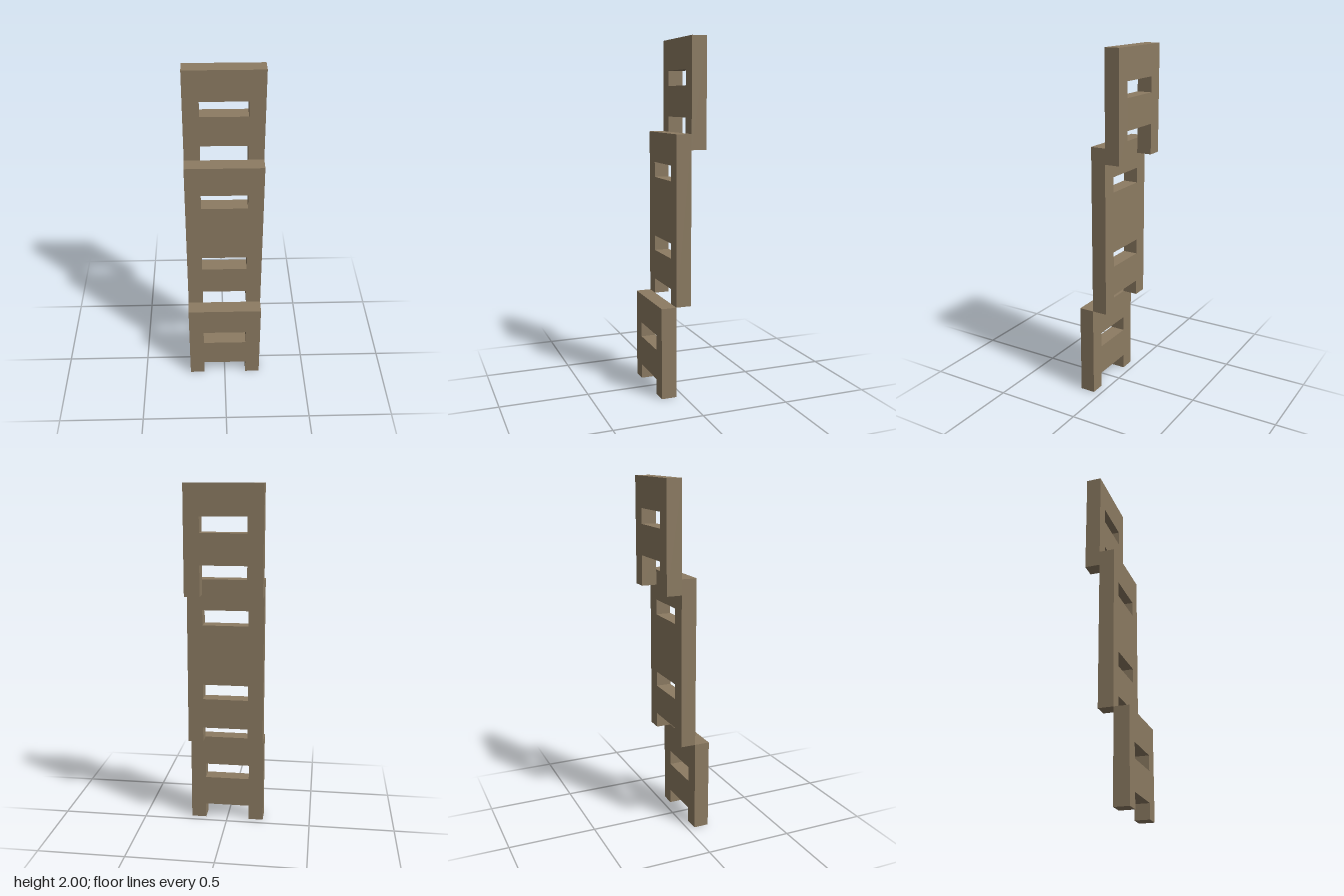
import * as THREE from 'three';

const U = 2 / 23; // one module: 23 modules make the full height
const HALF_WIDTH = 2.5 * U;
const HALF_SLOT = 1.5 * U;

const material = new THREE.MeshStandardMaterial({ color: 0x8c7b62, flatShading: true });

// Upright board on two feet, with one-module-high slots; sizes in modules
function panel(name, { bottom, top, back, notch, slots }) {
  const shape = new THREE.Shape([
    [-HALF_WIDTH, bottom * U], [-HALF_SLOT, bottom * U],
    [-HALF_SLOT, (bottom + notch) * U], [HALF_SLOT, (bottom + notch) * U],
    [HALF_SLOT, bottom * U], [HALF_WIDTH, bottom * U],
    [HALF_WIDTH, top * U], [-HALF_WIDTH, top * U],
  ].map(([x, y]) => new THREE.Vector2(x, y)));

  for (const y of slots) {
    shape.holes.push(new THREE.Path([
      [-HALF_SLOT, y * U], [-HALF_SLOT, (y + 1) * U],
      [HALF_SLOT, (y + 1) * U], [HALF_SLOT, y * U],
    ].map(([x, v]) => new THREE.Vector2(x, v))));
  }

  const geometry = new THREE.ExtrudeGeometry(shape, { depth: U, bevelEnabled: false });
  geometry.translate(0, 0, back * U);
  const mesh = new THREE.Mesh(geometry, material);
  mesh.name = name;
  return mesh;
}

export function createModel() {
  const model = new THREE.Group();
  model.name = 'steppedLadder';
  // Three panels, each stepped one module further back
  model.add(
    panel('lowerPanel', { bottom: 0, top: 6, back: 0.5, notch: 1, slots: [3] }),
    panel('middlePanel', { bottom: 6, top: 17, back: -0.5, notch: 1, slots: [9, 14] }),
    panel('upperPanel', { bottom: 16, top: 23, back: -1.5, notch: 2, slots: [20] }),
  );
  return model;
}
